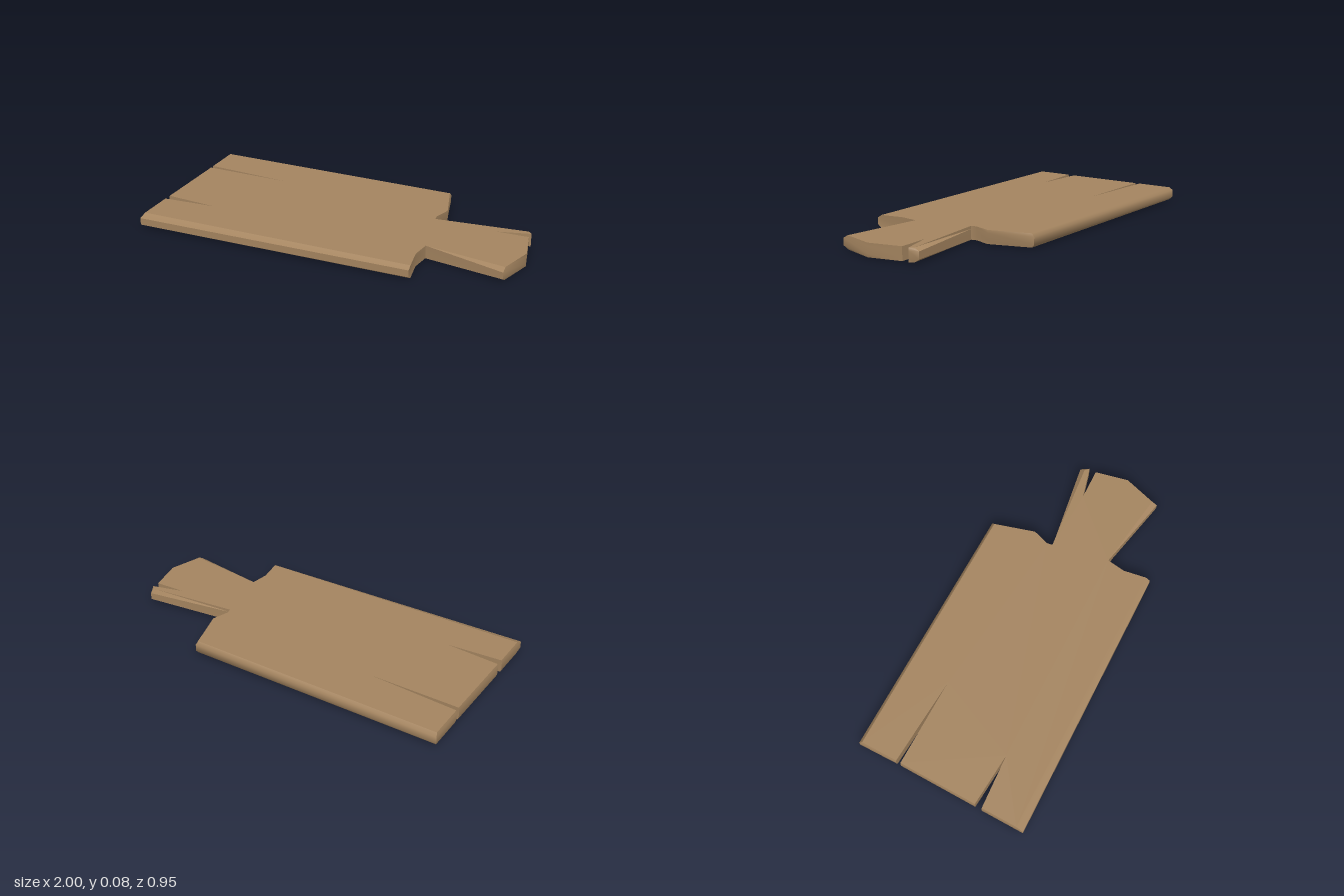
import * as THREE from 'three';
import { mergeGeometries, toCreasedNormals } from 'three/addons/utils/BufferGeometryUtils.js';

// Outline seen from above, clockwise from the back left: x, z, inset in x, inset in z
const OUTLINE = [
  [-0.99, -0.477, 0.008, 0.016], [0.415, -0.465, -0.004, 0.016],
  [0.475, -0.23, 0, 0], [0.445, -0.14, 0, 0], [0.45, -0.11, 0, 0],
  // split handle end
  [0.94, -0.187, 0, 0.026], [0.96, -0.14, 0, 0], [0.79, -0.095, 0, 0],
  [0.957, -0.1, 0, 0], [0.996, 0.08, 0, 0], [0.94, 0.288, 0, -0.03],
  // front shoulder and long edge
  [0.51, 0.2, 0, 0], [0.495, 0.3, 0, 0], [0.515, 0.45, 0, -0.025],
  [-1, 0.477, 0.005, -0.04],
  // end with two cracks
  [-0.997, 0.24, 0.004, 0], [-0.7, 0.222, 0, 0], [-0.995, 0.2, 0.004, 0],
  [-0.988, -0.235, 0.004, 0], [-0.5, -0.23, 0, 0], [-0.988, -0.26, 0.004, 0],
];
// Height and share of the inset, from the underside to the top
const LAYERS = [[0, 1], [0.017, 0], [0.055, 0], [0.071, 1]];

function geometryFrom(positions) {
  const g = new THREE.BufferGeometry();
  g.setAttribute('position', new THREE.Float32BufferAttribute(positions, 3));
  g.computeVertexNormals();
  return g;
}

export function createModel() {
  // The board is very slightly tilted toward the front
  const rings = LAYERS.map(([y, k]) => OUTLINE.map(([x, z, dx, dz]) => {
    const pz = z + dz * k;
    return [x + dx * k, y + (0.477 - pz) * 0.007, pz];
  }));
  const n = OUTLINE.length;

  // Bevelled edge all round
  const walls = [];
  for (let l = 0; l < rings.length - 1; l++) {
    for (let i = 0; i < n; i++) {
      const j = (i + 1) % n;
      const [a, b, c, d] = [rings[l][i], rings[l + 1][i], rings[l + 1][j], rings[l][j]];
      walls.push(...a, ...b, ...c, ...a, ...c, ...d);
    }
  }

  // Flat top and underside
  const caps = [];
  for (const [ring, up] of [[rings[3], true], [rings[0], false]]) {
    const flat = ring.map(([x, , z]) => new THREE.Vector2(x, z));
    for (const [a, b, c] of THREE.ShapeUtils.triangulateShape(flat, [])) {
      const facesUp = THREE.ShapeUtils.area([flat[a], flat[b], flat[c]]) < 0;
      const order = facesUp === up ? [a, b, c] : [a, c, b];
      for (const i of order) caps.push(...ring[i]);
    }
  }

  const wood = new THREE.MeshStandardMaterial({ color: 0xa58560 });
  wood.name = 'wood';
  const plank = new THREE.Mesh(
    mergeGeometries([toCreasedNormals(geometryFrom(walls), 0.95), geometryFrom(caps)]), wood);
  plank.name = 'brokenPlank';

  const group = new THREE.Group();
  group.name = 'plank';
  group.add(plank);
  return group;
}
